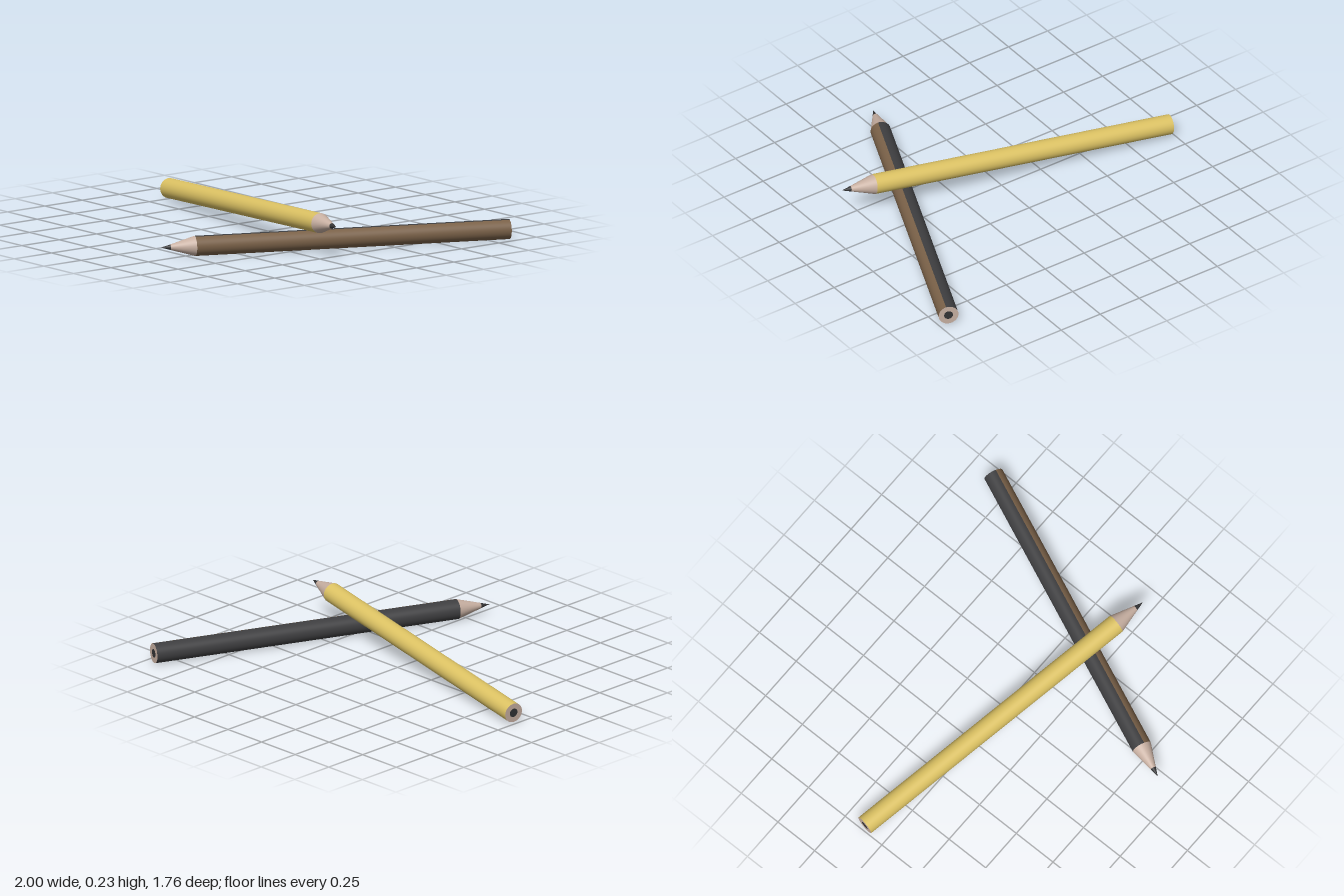
import * as THREE from 'three';

const R = 0.053, BODY = 1.708, CONE = 0.182, LEAD = 0.05, SIDES = 32;
const WOOD = 0xc8b0a2, GRAPHITE = 0x333335;

function addPart(group, name, geometry, color, y = 0) {
  const mesh = new THREE.Mesh(geometry, new THREE.MeshStandardMaterial({ color }));
  mesh.name = name;
  mesh.position.y = y;
  group.add(mesh);
  return mesh;
}

// Pencil running from `end` along `toward`; each paint band is [color, start angle, sweep]
function makePencil(name, end, toward, bands) {
  const pencil = new THREE.Group();
  pencil.name = name;

  // painted barrel
  bands.forEach(([color, start, sweep], i) => addPart(pencil, `barrelPaint${i + 1}`,
    new THREE.CylinderGeometry(R, R, BODY, SIDES, 1, true, start, sweep), color, BODY / 2));

  // sharpened wood and lead point
  const leadR = R * LEAD / CONE;
  addPart(pencil, 'sharpenedWood',
    new THREE.CylinderGeometry(leadR, R, CONE - LEAD, SIDES, 1, true), WOOD, BODY + (CONE - LEAD) / 2);
  addPart(pencil, 'leadPoint',
    new THREE.ConeGeometry(leadR, LEAD, SIDES, 1, true), GRAPHITE, BODY + CONE - LEAD / 2);

  // flat back end: wood ring around the lead core
  const core = R * 0.45;
  addPart(pencil, 'endWood', new THREE.RingGeometry(core, R, SIDES).rotateX(Math.PI / 2), WOOD);
  addPart(pencil, 'endLead', new THREE.CircleGeometry(core, SIDES).rotateX(Math.PI / 2), GRAPHITE);

  // local y runs along the pencil, local z stays on its upper side
  const dir = toward.clone().sub(end).normalize();
  const side = new THREE.Vector3().crossVectors(dir, new THREE.Vector3(0, 1, 0)).normalize();
  const upper = new THREE.Vector3().crossVectors(side, dir);
  pencil.quaternion.setFromRotationMatrix(new THREE.Matrix4().makeBasis(side, dir, upper));
  pencil.position.copy(end);
  return pencil;
}

export function createModel() {
  const model = new THREE.Group();
  model.name = 'crossedPencils';

  // two-tone pencil lying flat
  model.add(makePencil('brownPencil',
    new THREE.Vector3(0.947, 0.054, -0.86), new THREE.Vector3(0.205, 0.054, 0.875),
    [[0x3e3e40, -0.25, Math.PI], [0x7a6148, Math.PI - 0.25, Math.PI]]));

  // yellow pencil leaning across it
  model.add(makePencil('yellowPencil',
    new THREE.Vector3(-0.99, 0.06, -0.125), new THREE.Vector3(0.857, 0.187, 0.228),
    [[0xdcc263, 0, Math.PI * 2]]));

  return model;
}
